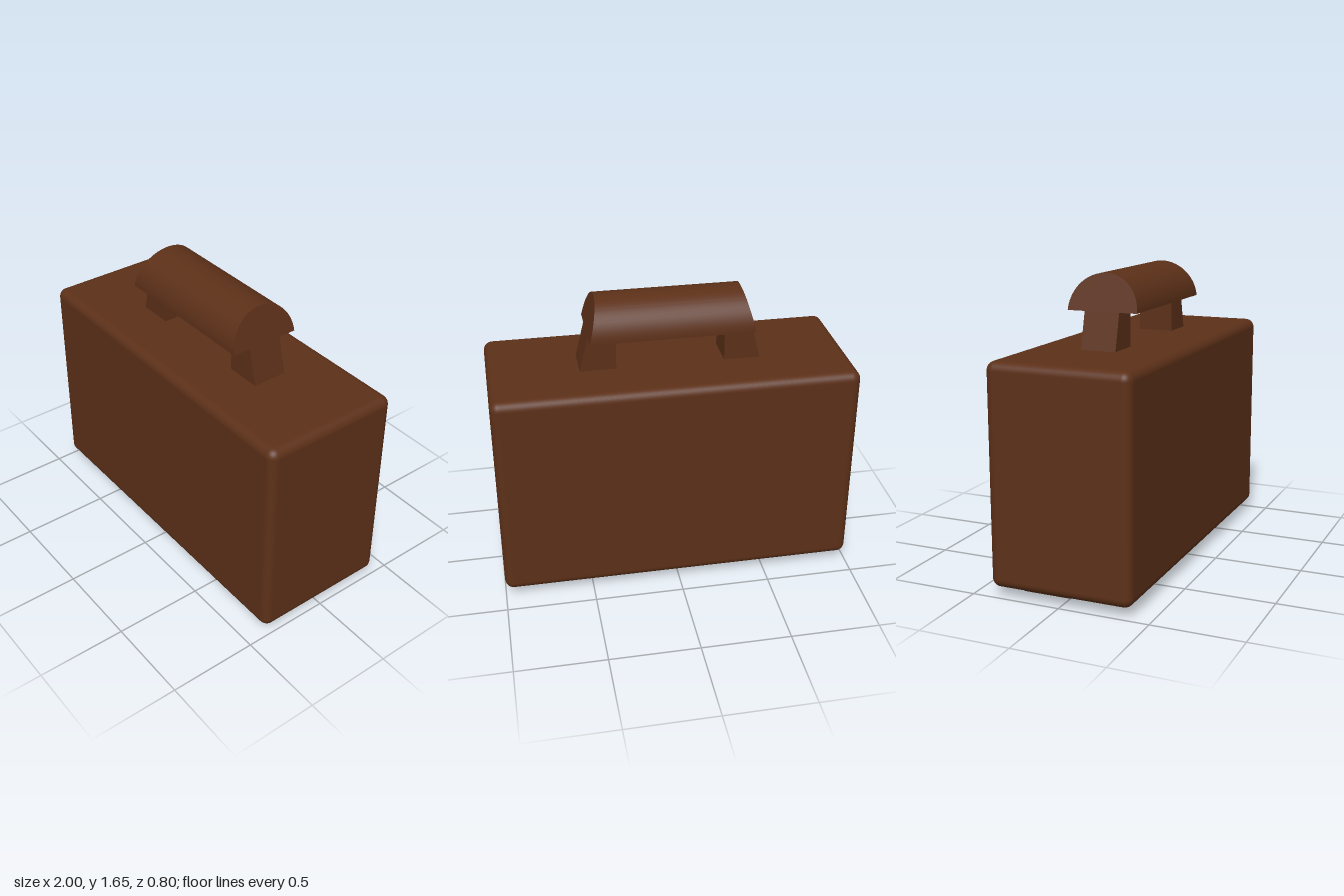
import * as THREE from 'three';
import { RoundedBoxGeometry } from 'three/addons/geometries/RoundedBoxGeometry.js';
import { toCreasedNormals } from 'three/addons/utils/BufferGeometryUtils.js';

export function createModel() {
  const model = new THREE.Group();
  const leather = new THREE.MeshStandardMaterial({ color: 0x5c3018 });

  const add = (geometry, name, x = 0, y = 0, z = 0) => {
    const mesh = new THREE.Mesh(geometry, leather);
    mesh.name = name;
    mesh.position.set(x, y, z);
    model.add(mesh);
    return mesh;
  };

  // Case body with rounded edges
  add(new RoundedBoxGeometry(2, 1.2, 0.8, 6, 0.05), 'caseBody', 0, 0.65, 0);

  // Handle grip: half-round bar whose ends lean inward towards the top
  const halfDisc = new THREE.Shape();
  halfDisc.absarc(0, 0, 0.2, 0, Math.PI, false);
  halfDisc.closePath();
  let grip = new THREE.ExtrudeGeometry(halfDisc, { depth: 0.9, bevelEnabled: false, curveSegments: 32 });
  grip.translate(0, 0, -0.45).rotateY(Math.PI / 2);
  const p = grip.attributes.position;
  for (let i = 0; i < p.count; i++) {
    p.setX(i, Math.sign(p.getX(i)) * (0.45 - 0.25 * p.getY(i)));
  }
  grip = toCreasedNormals(grip, 0.6);
  add(grip, 'handleGrip', 0, 1.45, 0);

  // Handle posts, outer face in line with the slanted grip ends
  for (const s of [-1, 1]) {
    const outline = new THREE.Shape([[0.3, 1.25], [0.5, 1.25], [0.45, 1.45], [0.3, 1.45]]
      .map(([x, y]) => new THREE.Vector2(s * x, y)));
    const post = new THREE.ExtrudeGeometry(outline, { depth: 0.2, bevelEnabled: false });
    add(post, s > 0 ? 'leftHandlePost' : 'rightHandlePost', 0, 0, -0.1);
  }

  // Feet: bars with a flat inner end at z = 0 and a domed outer end
  const r = 0.05;
  const profile = [new THREE.Vector2(0, 0), new THREE.Vector2(r, 0)];
  for (let i = 0; i <= 8; i++) {
    const a = (i / 8) * Math.PI / 2;
    profile.push(new THREE.Vector2(i === 8 ? 0 : r * Math.cos(a), 0.25 + r * Math.sin(a)));
  }
  const footGeometry = toCreasedNormals(new THREE.LatheGeometry(profile, 24).rotateX(Math.PI / 2), 0.7);
  for (const s of [-1, 1]) {
    const side = s > 0 ? 'left' : 'right';
    add(footGeometry, side + 'FrontFoot', s * 0.65, r, 0);
    add(footGeometry, side + 'BackFoot', s * 0.85, r, 0).rotation.y = Math.PI;
  }

  // Long rounded strip under the base
  add(new RoundedBoxGeometry(1, 0.04, 0.06, 5, 0.02), 'baseStrip', 0, 0.05, 0);

  return model;
}
